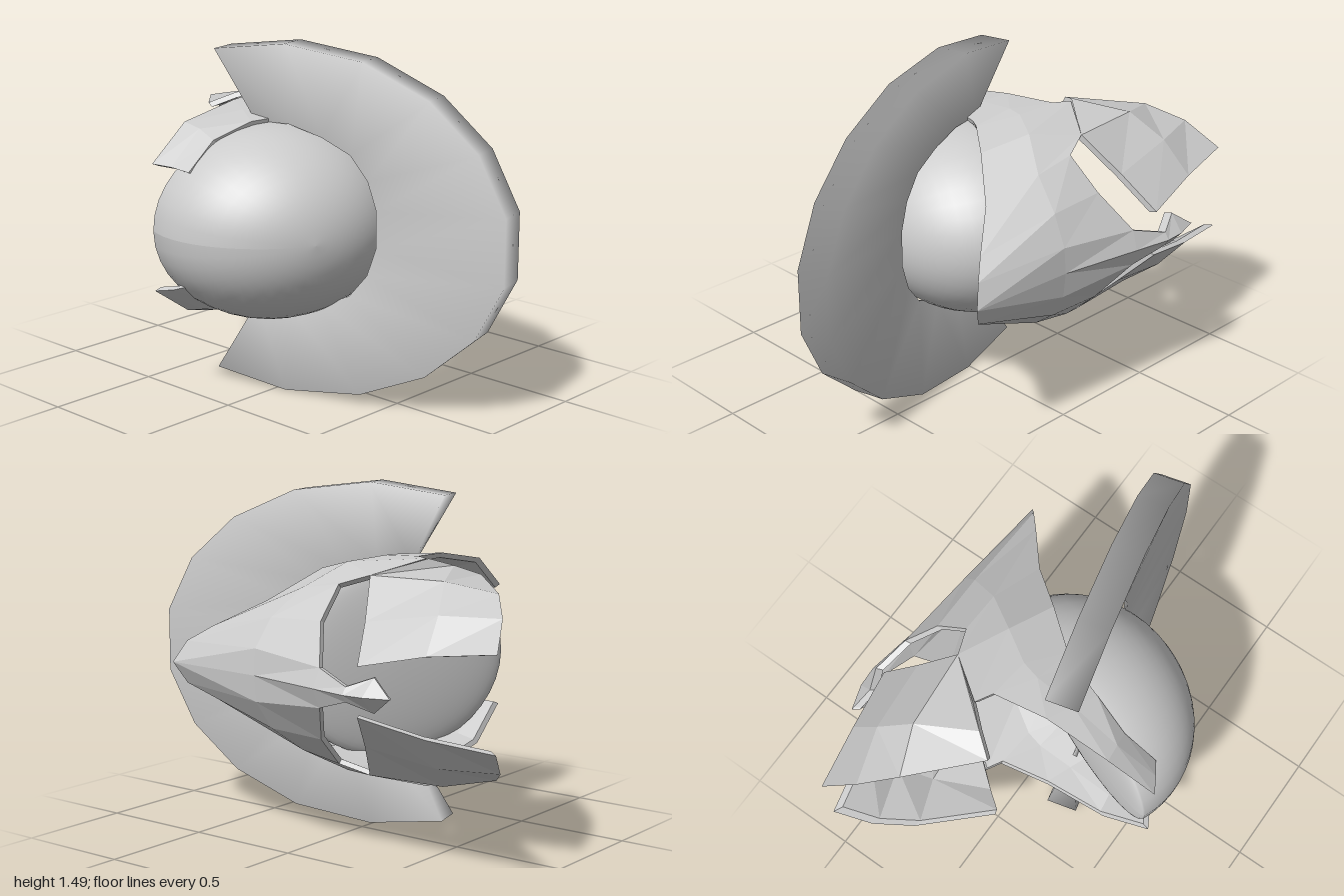
import * as THREE from 'three';

const MID = 0.74; // height of the mirror plane
const flat = new THREE.MeshStandardMaterial({ color: 0xcccccc, flatShading: true, side: THREE.DoubleSide });
const smooth = new THREE.MeshStandardMaterial({ color: 0xcccccc, side: THREE.DoubleSide });

// Thin faceted plate: rows run from the right ridge to the left, points front to back.
// sign = -1 mirrors it to the lower half.
function plate(name, rows, sign) {
  const core = new THREE.Vector3(0, MID, -0.15);
  const outer = rows.map(r => r.map(p => new THREE.Vector3(p[0], MID + sign * (p[1] - MID), p[2])));
  const inner = outer.map(r => r.map(p => p.clone().lerp(core, 0.045)));
  const pos = [];
  const quad = (a, b, c, d) => {
    const t = sign > 0 ? [a, b, c, a, c, d] : [a, c, b, a, d, c];
    t.forEach(v => pos.push(v.x, v.y, v.z));
  };
  const n = rows.length - 1, m = rows[0].length - 1;
  for (let i = 0; i < n; i++) {
    for (let j = 0; j < m; j++) {
      quad(outer[i][j], outer[i][j + 1], outer[i + 1][j + 1], outer[i + 1][j]);
      quad(inner[i][j], inner[i + 1][j], inner[i + 1][j + 1], inner[i][j + 1]);
    }
    // front and back edges
    quad(outer[i][0], outer[i + 1][0], inner[i + 1][0], inner[i][0]);
    quad(outer[i + 1][m], outer[i][m], inner[i][m], inner[i + 1][m]);
  }
  // side edges
  for (let j = 0; j < m; j++) {
    quad(outer[0][j + 1], outer[0][j], inner[0][j], inner[0][j + 1]);
    quad(outer[n][j], outer[n][j + 1], inner[n][j + 1], inner[n][j]);
  }
  const g = new THREE.BufferGeometry();
  g.setAttribute('position', new THREE.Float32BufferAttribute(pos, 3));
  g.computeVertexNormals();
  const mesh = new THREE.Mesh(g, flat);
  mesh.name = name;
  return mesh;
}

// Dome with a nearly flat back, turned to the left
function dome() {
  const g = new THREE.SphereGeometry(1, 40, 28);
  g.rotateX(Math.PI / 2);
  const p = g.attributes.position;
  for (let i = 0; i < p.count; i++) {
    const z = p.getZ(i);
    p.setXYZ(i, p.getX(i) * 0.53, p.getY(i) * 0.42, z > 0 ? z * 0.47 : z * 0.06);
  }
  g.computeVertexNormals();
  g.rotateY(-0.42);
  const mesh = new THREE.Mesh(g, smooth);
  mesh.position.set(-0.15, 0.72, -0.075);
  mesh.name = 'dome';
  return mesh;
}

// Crescent blade: wedge cross-section, wide outside and narrow inside
function crescent() {
  // outer z, outer height, inner z, inner height (upper half)
  const half = [
    [1.0, 0.14, 0.42, 0.08], [0.88, 0.38, 0.38, 0.2], [0.67, 0.57, 0.3, 0.3],
    [0.38, 0.7, 0.17, 0.36], [0.03, 0.745, 0.02, 0.4], [-0.3, 0.7, -0.14, 0.4],
  ];
  const sections = [
    ...half.slice().reverse(),
    ...half.map(([a, b, c, d]) => [a, -b, c, -d]),
  ];
  const lean = z => -0.145 + 0.237 * z; // centre line seen from above
  const pos = [], idx = [];
  sections.forEach(([oz, oh, iz, ih]) => {
    pos.push(lean(oz) - 0.067, MID + oh, oz + 0.017);
    pos.push(lean(oz) + 0.067, MID + oh, oz - 0.017);
    pos.push(lean(iz) + 0.008, MID + ih, iz);
    pos.push(lean(iz) - 0.008, MID + ih, iz);
  });
  for (let i = 0; i < sections.length - 1; i++) {
    for (let k = 0; k < 4; k++) {
      const a = i * 4 + k, b = i * 4 + (k + 1) % 4;
      idx.push(a, a + 4, b, b, a + 4, b + 4);
    }
  }
  const e = (sections.length - 1) * 4;
  idx.push(0, 1, 2, 0, 2, 3, e, e + 2, e + 1, e, e + 3, e + 2);
  const g = new THREE.BufferGeometry();
  g.setAttribute('position', new THREE.Float32BufferAttribute(pos, 3));
  g.setIndex(idx);
  g.computeVertexNormals();
  const mesh = new THREE.Mesh(g, smooth);
  mesh.name = 'crescentBlade';
  return mesh;
}

// Hood around the dome, from the right ridge over the top to the left tip
const hood = [
  [[0.56, 0.74, 0.575], [0.585, 0.74, 0.1], [0.65, 0.74, -0.26]],
  [[0.52, 0.83, 0.53], [0.575, 0.85, 0.1], [0.62, 0.82, -0.27]],
  [[0.45, 0.89, 0.45], [0.5, 0.97, 0.08], [0.5, 0.98, -0.18]],
  [[0.3, 1.0, 0.27], [0.36, 1.08, 0.03], [0.36, 1.11, -0.16]],
  [[0.12, 1.13, 0.12], [0.2, 1.18, -0.08], [0.31, 1.15, -0.28]],
  [[-0.05, 1.16, -0.02], [0.06, 1.2, -0.17], [0.12, 1.21, -0.42]],
  [[-0.1, 1.16, -0.05], [-0.02, 1.2, -0.19], [0.08, 1.21, -0.35]],
  [[-0.25, 1.15, -0.1], [-0.2, 1.18, -0.2], [-0.15, 1.2, -0.31]],
  [[-0.42, 1.09, -0.15], [-0.43, 1.13, -0.22], [-0.44, 1.15, -0.3]],
  [[-0.57, 0.98, -0.14], [-0.61, 1.0, -0.2], [-0.65, 1.01, -0.27]],
];
// Swept fin behind the hood
const fin = [
  [[0.6, 0.84, -0.44], [0.54, 0.9, -0.72], [0.48, 0.93, -1.0]],
  [[0.46, 0.99, -0.37], [0.42, 1.04, -0.69], [0.34, 1.04, -0.93]],
  [[0.31, 1.15, -0.28], [0.28, 1.15, -0.62], [0.2, 1.11, -0.82]],
  [[0.12, 1.21, -0.43], [0.04, 1.18, -0.5], [-0.05, 1.14, -0.57]],
];
// Pointed spike at the back of the ridge
const spike = [
  [[0.65, 0.74, -0.26], [0.68, 0.74, -0.43], [0.675, 0.74, -0.52], [0.64, 0.74, -0.63]],
  [[0.62, 0.82, -0.27], [0.66, 0.77, -0.43], [0.61, 0.81, -0.53], [0.638, 0.745, -0.62]],
];

export function createModel() {
  const model = new THREE.Group();
  model.name = 'model';
  model.add(dome(), crescent());
  for (const [side, sign] of [['upper', 1], ['lower', -1]]) {
    model.add(plate(side + 'Hood', hood, sign));
    model.add(plate(side + 'Fin', fin, sign));
    model.add(plate(side + 'Spike', spike, sign));
  }
  return model;
}
